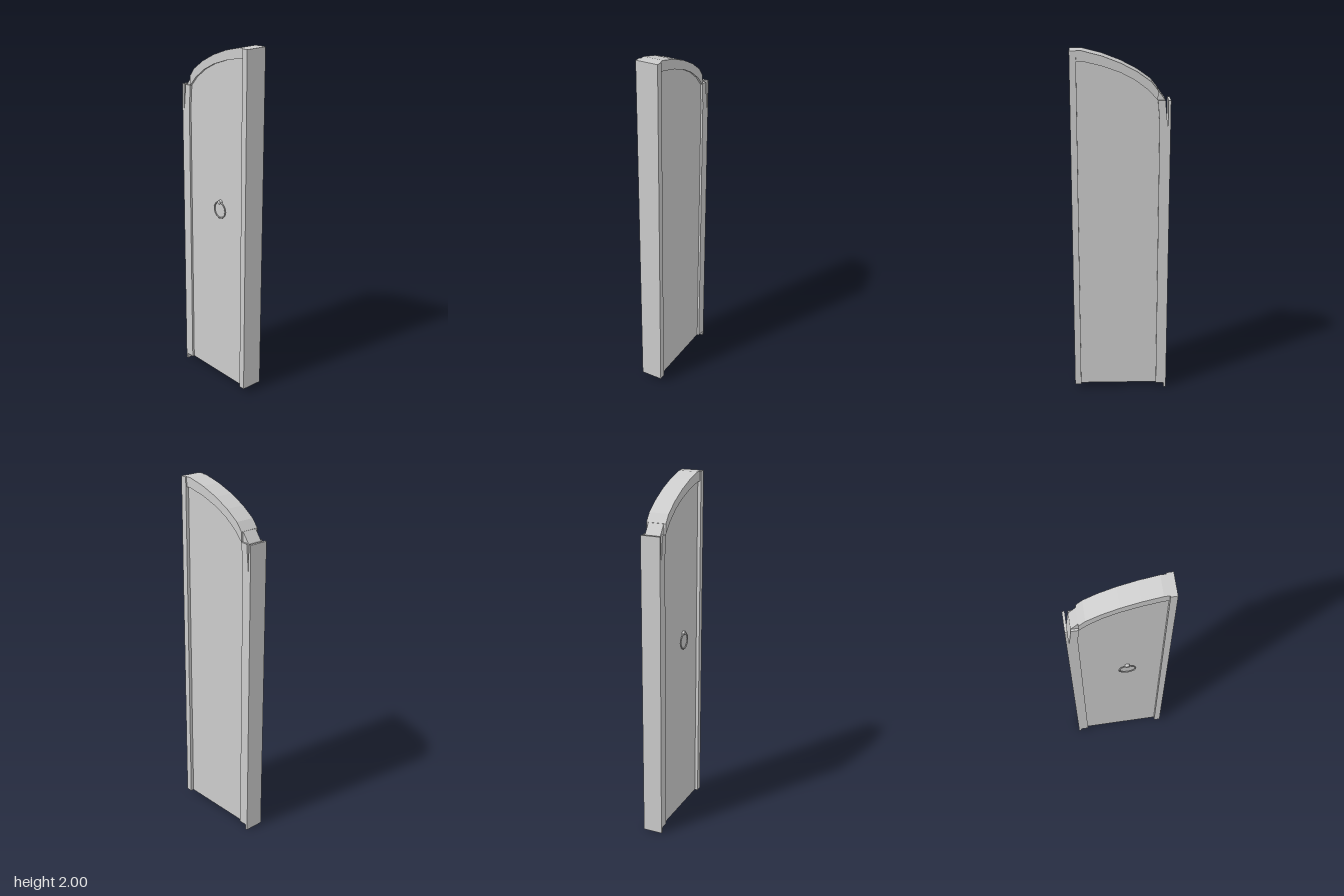
import * as THREE from 'three';

const material = new THREE.MeshStandardMaterial({ color: 0xcccccc });

export function createModel() {
  const model = new THREE.Group();

  function add(name, geometry, x = 0, y = 0, z = 0) {
    const mesh = new THREE.Mesh(geometry, material);
    mesh.name = name;
    mesh.position.set(x, y, z);
    model.add(mesh);
    return mesh;
  }

  // Extrudes a side profile of [z, y] points across x, centred on x = 0.
  function slab(name, points, width) {
    const shape = new THREE.Shape(points.map(([z, y]) => new THREE.Vector2(z, y)));
    const geometry = new THREE.ExtrudeGeometry(shape, { depth: width, bevelEnabled: false });
    geometry.translate(0, 0, -width / 2).rotateY(-Math.PI / 2);
    return add(name, geometry);
  }

  const base = 0.03;
  const outer = [[0.234, 2], [0.205, 2], [0.1, 1.973], [0, 1.935], [-0.09, 1.888], [-0.165, 1.835], [-0.2, 1.79]];
  const inner = [[0.234, 1.945], [0.205, 1.945], [0.1, 1.92], [0, 1.885], [-0.08, 1.843], [-0.15, 1.79], [-0.2, 1.735]];

  // Recessed door leaf, running on past the arch to the rear post
  slab('doorPanel', [[0.24, base], ...outer.map(([z, y]) => [z, y - 0.001]), [-0.24, 1.735], [-0.24, base]], 0.088);

  // Curved rim over the leaf
  slab('archRim', [...outer, ...inner.slice().reverse()], 0.112);

  // Wide, tall post on the front edge
  add('frontPost', new THREE.BoxGeometry(0.126, 2 - base, 0.036), 0, (2 + base) / 2, 0.252);

  // Rear post, leaning in at the top
  slab('rearPost', [[-0.21, base], [-0.21, 1.61], [-0.2, 1.735], [-0.24, 1.735], [-0.256, 1.57], [-0.256, base]], 0.112);

  // Thin cover strip reaching the ground
  add('rearStrip', new THREE.BoxGeometry(0.112, 1.735, 0.014), 0, 0.8675, -0.263);

  // Pull ring hanging from a small stud on the right face
  const ring = add('pullRing', new THREE.TorusGeometry(0.045, 0.004, 8, 28), -0.052, 1.075, 0.045);
  ring.rotation.y = Math.PI / 2;
  const stud = add('ringStud', new THREE.CylinderGeometry(0.011, 0.013, 0.016, 12), -0.051, 1.122, 0.045);
  stud.rotation.z = Math.PI / 2;

  return model;
}
